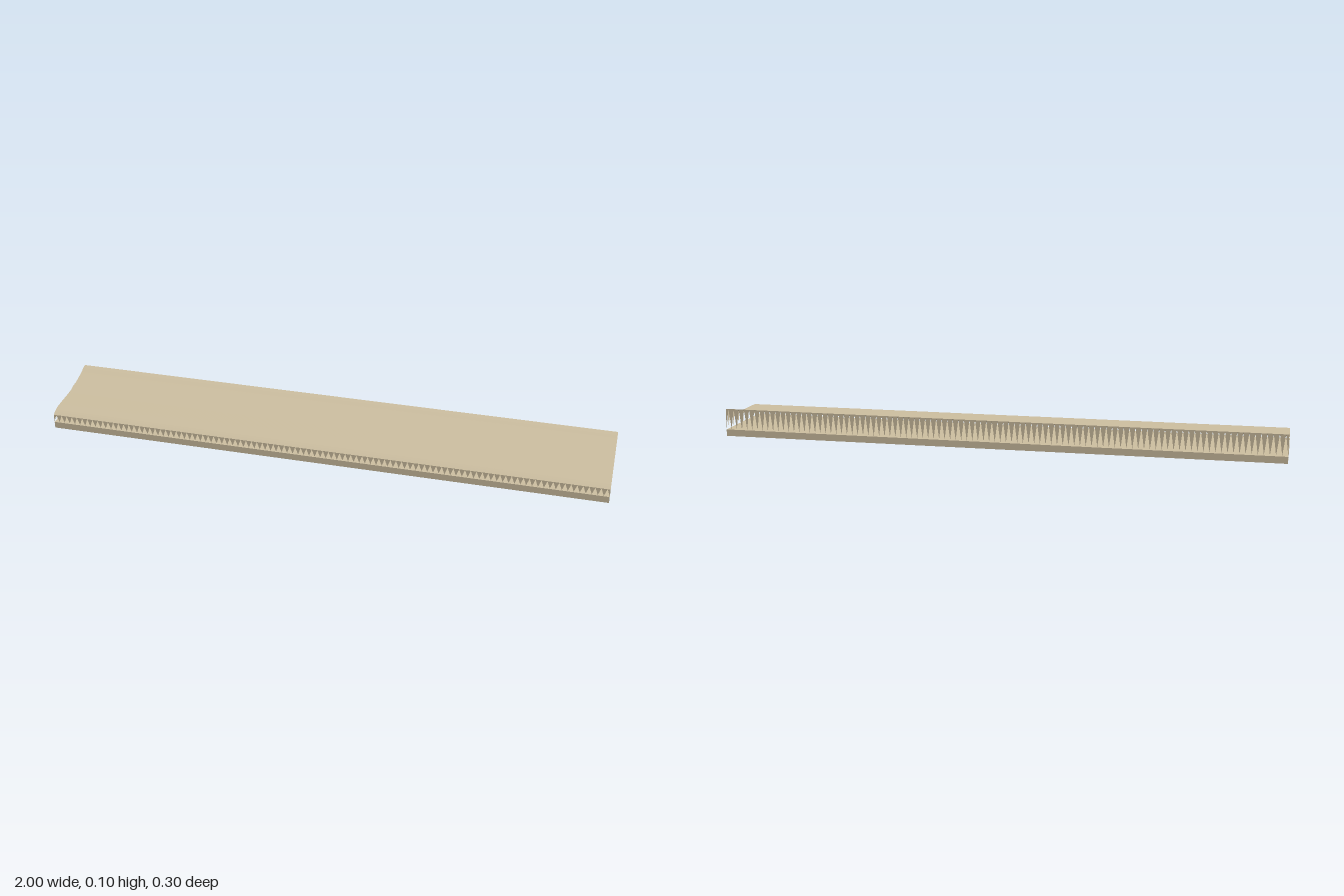
import * as THREE from 'three';

// Sheet cross-section: [z, y] from front to back
const PROFILE = [
  [0.15, 0.054], [0.143, 0.058], [0.132, 0.063], [0.118, 0.067], [0.105, 0.068],
  [0, 0.068], [-0.015, 0.07], [-0.032, 0.075], [-0.05, 0.075], [-0.07, 0.078],
  [-0.1, 0.085], [-0.12, 0.091], [-0.135, 0.097], [-0.15, 0.1],
];
const HALF_X = 1, HALF_Z = 0.15, TIP_Y = 0.026;

// Height of the sheet at a given z
function heightAt(z) {
  for (let i = 1; i < PROFILE.length; i++) {
    const [z0, y0] = PROFILE[i - 1], [z1, y1] = PROFILE[i];
    if (z >= z1) return y0 + (y1 - y0) * (z0 - z) / (z0 - z1);
  }
  return PROFILE[PROFILE.length - 1][1];
}

// Row of downward teeth; pointAt(t) gives the [x, z] position along the edge
function toothRow(count, pointAt) {
  const pos = [];
  for (let i = 0; i <= count; i++) {
    const a = pointAt(Math.max(0, (i - 0.5) / count));
    const b = pointAt(Math.min(1, (i + 0.5) / count));
    const tip = pointAt(i / count);
    pos.push(a[0], heightAt(a[1]), a[1], tip[0], TIP_Y, tip[1], b[0], heightAt(b[1]), b[1]);
  }
  const geo = new THREE.BufferGeometry();
  geo.setAttribute('position', new THREE.Float32BufferAttribute(pos, 3));
  geo.computeVertexNormals();
  return geo;
}

export function createModel() {
  const group = new THREE.Group();
  const stone = new THREE.MeshStandardMaterial({ color: 0xcbbd9f, side: THREE.DoubleSide });
  stone.name = 'sandstone';
  const add = (name, geo) => {
    const mesh = new THREE.Mesh(geo, stone);
    mesh.name = name;
    group.add(mesh);
    return mesh;
  };

  // Flat slab underneath
  add('baseSlab', new THREE.BoxGeometry(2 * HALF_X, 0.024, 2 * HALF_Z)).position.y = 0.012;

  // Curved upper sheet, swept along x
  const sheet = new THREE.PlaneGeometry(2 * HALF_X, 2 * HALF_Z, 1, 56);
  sheet.rotateX(-Math.PI / 2);
  const p = sheet.attributes.position;
  for (let i = 0; i < p.count; i++) p.setY(i, heightAt(p.getZ(i)));
  sheet.computeVertexNormals();
  add('curvedTop', sheet);

  // Teeth hanging from all four edges, wound to face outwards
  const along = (t) => (2 * t - 1);
  add('frontTeeth', toothRow(100, (t) => [along(t) * HALF_X, HALF_Z]));
  add('backTeeth', toothRow(100, (t) => [-along(t) * HALF_X, -HALF_Z]));
  add('leftTeeth', toothRow(14, (t) => [HALF_X, -along(t) * HALF_Z]));
  add('rightTeeth', toothRow(14, (t) => [-HALF_X, along(t) * HALF_Z]));

  return group;
}
